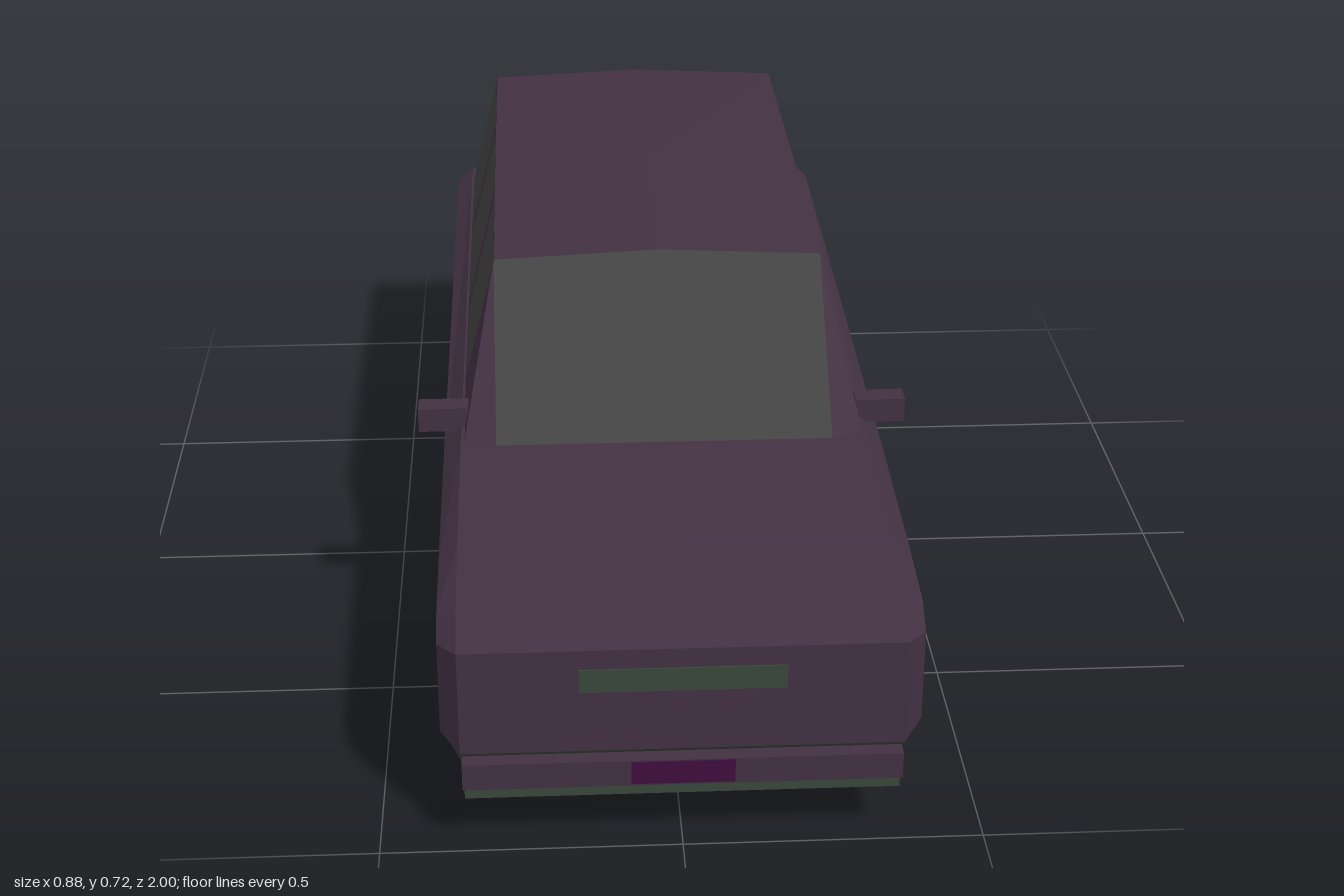
import * as THREE from 'three';

const material = (name, color) => {
  const m = new THREE.MeshStandardMaterial({ color });
  m.name = name;
  return m;
};

// Flat geometry from fans of corners, counter-clockwise from outside
function facets(polys) {
  const pos = [];
  for (const p of polys)
    for (let i = 1; i < p.length - 1; i++) pos.push(...p[0], ...p[i], ...p[i + 1]);
  const g = new THREE.BufferGeometry();
  g.setAttribute('position', new THREE.Float32BufferAttribute(pos, 3));
  g.computeVertexNormals();
  return g;
}

const mirror = (poly) => poly.map(([x, y, z]) => [-x, y, z]).reverse();
const both = (polys) => [...polys, ...polys.map(mirror)];

export function createModel() {
  const car = new THREE.Group();
  car.name = 'estateCar';
  const paint = material('paint', 0x423142);
  const glass = material('glass', 0x434443);
  const trim = material('trim', 0x3a473b);
  const accent = material('accent', 0x400f3e);

  const add = (name, geometry, mat, x = 0, y = 0, z = 0) => {
    const mesh = new THREE.Mesh(geometry, mat);
    mesh.name = name;
    mesh.position.set(x, y, z);
    car.add(mesh);
    return mesh;
  };
  const box = (name, mat, x0, x1, y0, y1, z0, z1) =>
    add(name, new THREE.BoxGeometry(x1 - x0, y1 - y0, z1 - z0), mat,
      (x0 + x1) / 2, (y0 + y1) / 2, (z0 + z1) / 2);

  // Lower body: [z, y] of the wide middle, [z, y] of the bevelled side, and trim flag
  const axles = [0.59, -0.565];
  const outline = [[0.95, 0.145, 0.92, 0.19, true]];
  for (const az of axles)
    for (let k = 0; k <= 7; k++) {
      const c = Math.cos((k / 7) * Math.PI), s = Math.sin((k / 7) * Math.PI);
      outline.push([az + 0.175 * c, 0.14 + 0.19 * s, az + 0.205 * c, 0.18 + 0.185 * s, true]);
    }
  outline.push(
    [-0.95, 0.145, -0.93, 0.19, true],
    [-0.985, 0.18, -0.955, 0.2, false],
    [-0.985, 0.43, -0.955, 0.425, false],
    [-0.93, 0.465, -0.92, 0.439, false],
    [0.42, 0.456, 0.42, 0.42, false],
    [0.75, 0.437, 0.75, 0.408, false],
    [0.93, 0.41, 0.9, 0.396, false],
    [0.985, 0.37, 0.945, 0.365, false],
    [0.985, 0.18, 0.945, 0.2, true],
  );
  const middle = outline.map(([z, y]) => [0.363, y, z]);
  const side = outline.map(([, , z, y]) => [0.395, y, z]);
  const skins = { paint: [], trim: [] };
  outline.forEach((p, i) => {
    const j = (i + 1) % outline.length;
    const list = p[4] ? skins.trim : skins.paint;
    const flip = ([x, y, z]) => [-x, y, z];
    list.push([middle[i], flip(middle[i]), flip(middle[j]), middle[j]]);
    list.push(...both([[side[i], middle[i], middle[j], side[j]]]));
  });
  const flat = side.map(([, y, z]) => new THREE.Vector2(-z, y));
  for (const f of THREE.ShapeUtils.triangulateShape(flat, []))
    skins.paint.push(...both([f.map((i) => side[i])]));
  add('bodyShell', facets(skins.paint), paint);
  add('underbodyAndArches', facets(skins.trim), trim);

  // Cabin: roof with a shallow crown
  const roofZ = [0.165, -0.3, -0.865], edgeY = [0.702, 0.708, 0.702], crownY = [0.716, 0.724, 0.716];
  const roof = [];
  for (let i = 0; i < 2; i++)
    roof.push([
      [0, crownY[i], roofZ[i]], [0.3, edgeY[i], roofZ[i]],
      [0.3, edgeY[i + 1], roofZ[i + 1]], [0, crownY[i + 1], roofZ[i + 1]],
    ]);
  add('roof', facets(both(roof)), paint);

  // Side walls, alternating windows and pillars
  const wall = (z0, z1, y0, y1) => {
    const at = (y, z) => [0.36 - 0.06 * (y - 0.455) / 0.247, y, z];
    return [at(y0, z0), at(y0, z1), at(y1, z1), at(y1, z0)];
  };
  const breaks = [0.165, -0.15, -0.195, -0.535, -0.58, -0.865];
  const windows = [], pillars = [wall(0.165, -0.865, 0.455, 0.465), wall(0.165, -0.865, 0.698, 0.705)];
  for (let i = 0; i < 5; i++)
    (i % 2 ? pillars : windows).push(wall(breaks[i], breaks[i + 1], 0.465, 0.698));

  // Front and rear corner pillars
  const topF = [0.3, 0.702, 0.165], topR = [0.3, 0.702, -0.865];
  const cornerF = [0.357, 0.453, 0.41], cornerR = [0.35, 0.46, -0.92];
  const screenF = [0.3, 0.453, 0.432], screenR = [0.295, 0.46, -0.935];
  pillars.push(
    [topF, cornerF, [0.36, 0.455, 0.165]], [topF, screenF, cornerF],
    [topR, [0.36, 0.455, -0.865], cornerR], [topR, cornerR, screenR],
  );
  add('pillars', facets(both(pillars)), paint);
  add('sideWindows', facets(both(windows)), glass);
  add('windscreen', facets(both([[[0, 0.453, 0.432], screenF, topF, [0, 0.716, 0.165]]])), glass);
  add('rearWindow', facets(both([[screenR, [0, 0.46, -0.935], [0, 0.716, -0.865], topR]])), glass);

  // Bumpers with a lower lip
  for (const s of [1, -1]) {
    const end = s > 0 ? 'front' : 'rear';
    const span = (a, b) => (s > 0 ? [a, b] : [-b, -a]);
    box(end + 'Bumper', paint, -0.36, 0.36, 0.12, 0.168, ...span(0.915, 1));
    box(end + 'BumperLip', trim, -0.357, 0.357, 0.097, 0.12, ...span(0.925, 0.99));
  }

  // Grille, plates and tail lights
  box('grille', trim, -0.168, 0.168, 0.293, 0.335, 0.983, 0.988);
  box('frontPlate', accent, -0.085, 0.085, 0.124, 0.166, 0.997, 1.002);
  box('rearPlate', accent, -0.085, 0.085, 0.24, 0.284, -0.988, -0.983);

  for (const s of [1, -1]) {
    const label = s > 0 ? 'left' : 'right';
    const span = (a, b) => (s > 0 ? [a, b] : [-b, -a]);
    box(label + 'TailLight', trim, ...span(0.17, 0.355), 0.29, 0.337, -0.988, -0.983);
    box(label + 'Mirror', paint, ...span(0.35, 0.44), 0.447, 0.492, 0.31, 0.352);
    for (const z of [0.138, -0.408])
      box(label + 'DoorHandle', accent, ...span(0.392, 0.398), 0.37, 0.385, z - 0.033, z + 0.033);
    for (const z of [0.405, -0.145])
      box(label + 'DoorSeam', trim, ...span(0.393, 0.3957), 0.19, 0.415, z - 0.0015, z + 0.0015);

    // Wheels: ten-sided tyres with round hubs
    for (const z of axles) {
      const tyre = new THREE.CylinderGeometry(0.15, 0.15, 0.08, 10).rotateZ(Math.PI / 2);
      const hub = new THREE.CylinderGeometry(0.09, 0.09, 0.083, 20).rotateZ(Math.PI / 2);
      add(label + 'Tyre', tyre.toNonIndexed(), trim, s * 0.345, 0.1427, z).geometry.computeVertexNormals();
      add(label + 'Hub', hub, accent, s * 0.345, 0.1427, z);
    }
  }
  return car;
}
